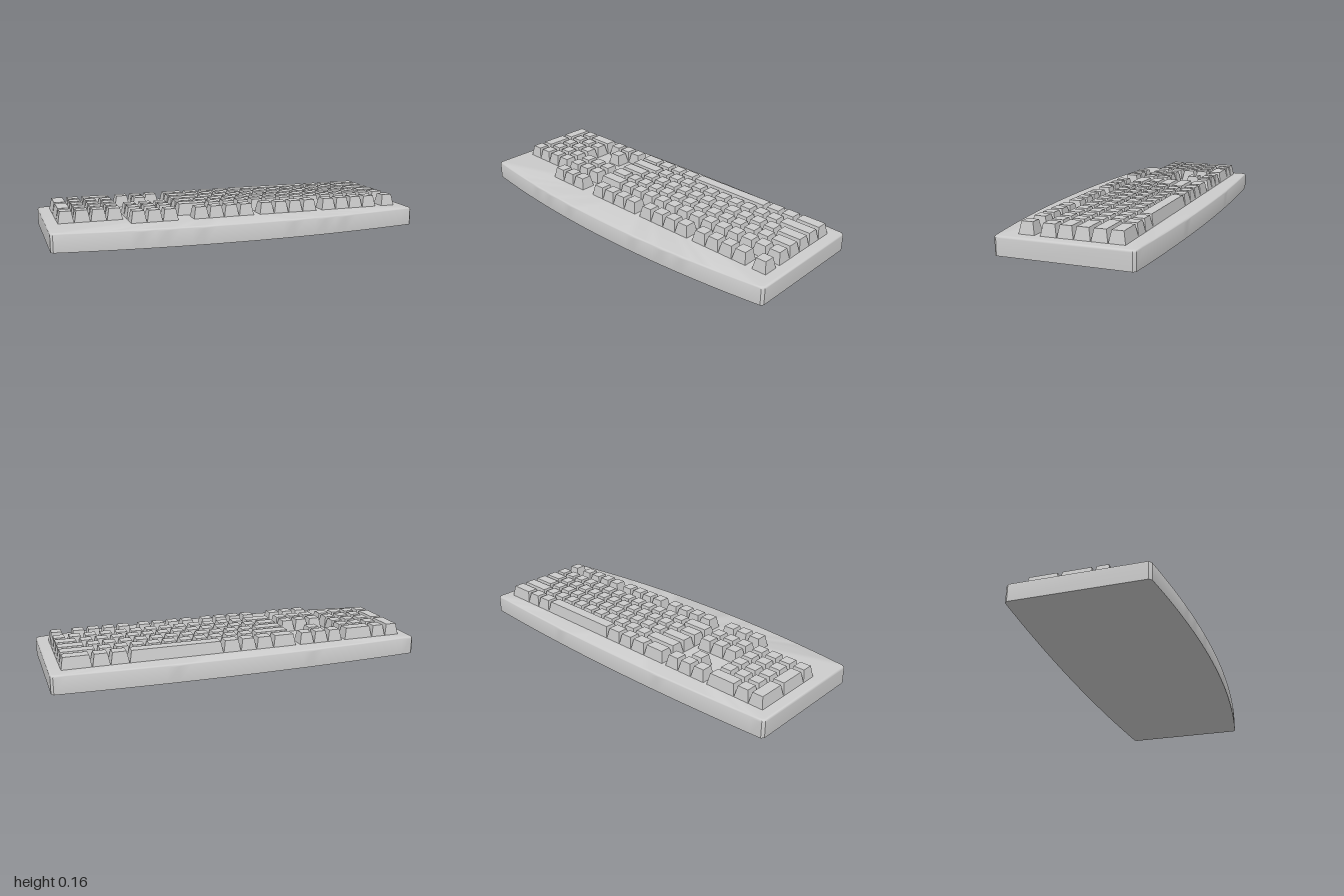
import * as THREE from 'three';
import { toCreasedNormals } from 'three/addons/utils/BufferGeometryUtils.js';

const BODY_TOP = 0.097, KEY_TOP = 0.158, TAPER = 0.012;
const U = 0.084;                 // one key unit
const BACK = -0.302;             // rear edge of the key field
const rowZ = r => BACK + r * U;  // rear edge of a key row
const material = new THREE.MeshStandardMaterial({ color: 0xcccccc });

// Case outline: straight sides, bowed front and back, shrunk by an inset
function outline(inset) {
  const hw = 1 - inset, r = 0.012, n = 32, pts = [];
  const front = x => 0.405 - 0.08 * x * x - inset;
  const back = x => -0.405 + 0.035 * x * x + inset;
  const edge = f => {
    for (let i = 0; i <= n; i++) {
      const x = (hw - r) * (2 * i / n - 1);
      pts.push([x, f(x)]);
    }
  };
  edge(front);
  pts.push([hw, front(hw) - r], [hw, back(hw) + r]);
  edge(x => back(-x));
  for (let i = 0; i <= n; i++) pts[n + 3 + i][0] *= -1;
  pts.push([-hw, back(hw) + r], [-hw, front(hw) - r]);
  return pts;
}

// Case: stacked outlines with a rounded top edge, closed above and below
function caseGeometry() {
  const fillet = 0.012, levels = [[0, 0]];
  for (let i = 0; i <= 4; i++) {
    const a = i / 4 * Math.PI / 2;
    levels.push([fillet * (1 - Math.cos(a)), BODY_TOP - fillet * (1 - Math.sin(a))]);
  }
  const pos = [], index = [];
  const n = outline(0).length;
  for (const [inset, y] of levels) for (const [x, z] of outline(inset)) pos.push(x, y, z);
  const last = (levels.length - 1) * n, low = levels.length * n, high = low + 1;
  pos.push(0, 0, 0, 0, BODY_TOP, 0);
  for (let i = 0; i < n; i++) {
    const j = (i + 1) % n;
    for (let k = 0; k < last; k += n) {
      index.push(k + i, k + j, k + n + j, k + i, k + n + j, k + n + i);
    }
    index.push(low, j, i, high, last + i, last + j);
  }
  const g = new THREE.BufferGeometry();
  g.setAttribute('position', new THREE.Float32BufferAttribute(pos, 3));
  g.setIndex(index);
  return toCreasedNormals(g, 0.6);
}

// Keycap: a box whose top face is drawn in on all four sides
function key(x0, x1, z0, z1) {
  const w = x1 - x0 - 0.001, d = z1 - z0 - 0.001, h = KEY_TOP - BODY_TOP + 0.002;
  const g = new THREE.BoxGeometry(w, h, d);
  const p = g.attributes.position;
  for (let i = 0; i < p.count; i++) {
    if (p.getY(i) > 0) {
      p.setX(i, p.getX(i) - Math.sign(p.getX(i)) * TAPER);
      p.setZ(i, p.getZ(i) - Math.sign(p.getZ(i)) * TAPER);
    }
  }
  g.computeVertexNormals();
  const mesh = new THREE.Mesh(g, material);
  mesh.position.set((x0 + x1) / 2, KEY_TOP - h / 2, (z0 + z1) / 2);
  mesh.name = 'key';
  return mesh;
}

// A run of equal keys between two x positions
function run(group, x0, x1, count, z0, depth = U) {
  const w = (x1 - x0) / count;
  for (let i = 0; i < count; i++) group.add(key(x0 + i * w, x0 + (i + 1) * w, z0, z0 + depth));
}

export function createModel() {
  const model = new THREE.Group();
  model.name = 'keyboard';
  const section = name => {
    const g = new THREE.Group();
    g.name = name;
    model.add(g);
    return g;
  };

  const body = new THREE.Mesh(caseGeometry(), material);
  body.name = 'case';
  model.add(body);

  // Main block: each row is a wide key, a run of unit keys, a wide key
  const main = section('mainKeys');
  const L = -0.31, R = 0.941;
  const spaceRow = [L, -0.18, -0.083, 0.005, 0.102, 0.599, 0.695, 0.786, R];
  for (let i = 0; i + 1 < spaceRow.length; i++) run(main, spaceRow[i], spaceRow[i + 1], 1, rowZ(0));
  const rows = [
    [1, -0.106, 0.743, 10],
    [2, -0.139, 0.786, 11],
    [3, -0.19, 0.81, 12],
    [4, -0.145, R, 13],
  ];
  for (const [r, a, b, count] of rows) {
    run(main, L, a, 1, rowZ(r));
    run(main, a, b, count, rowZ(r));
    if (b < R) run(main, b, R, 1, rowZ(r));
  }

  // Separate row along the front
  const functionKeys = section('functionKeys');
  const fz = 0.146;
  run(functionKeys, 0.86, R, 1, fz);
  for (const x of [-0.252, 0.118, 0.487]) run(functionKeys, x, x + 4 * U, 4, fz);

  // Arrow and editing cluster
  const nav = section('navigationKeys');
  const n0 = -0.586, n1 = n0 + 3 * U;
  for (const z of [rowZ(0), rowZ(3), rowZ(4), fz]) run(nav, n0, n1, 3, z);
  run(nav, n0 + U, n0 + 2 * U, 1, rowZ(1));

  // Number pad with two tall keys and one wide key
  const pad = section('numberPad');
  const p0 = -0.941, p1 = p0 + U, p3 = p0 + 4 * U;
  run(pad, p0, p1, 1, rowZ(0), 2 * U);
  run(pad, p0, p1, 1, rowZ(2), 2 * U);
  run(pad, p0, p3, 4, rowZ(4));
  for (let r = 1; r <= 3; r++) run(pad, p1, p3, 3, rowZ(r));
  run(pad, p1, p1 + U, 1, rowZ(0));
  run(pad, p1 + U, p3, 1, rowZ(0));

  return model;
}
